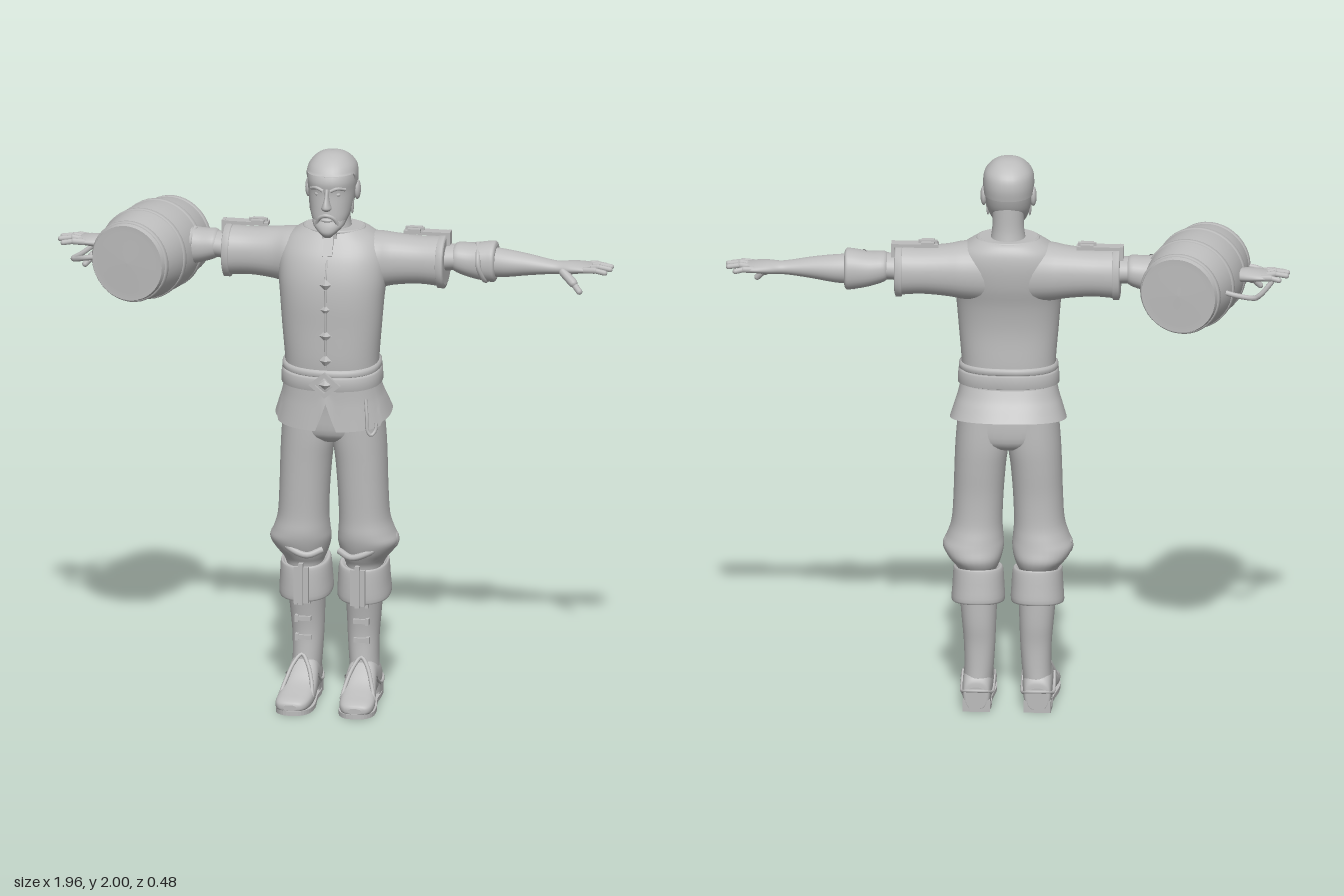
import * as THREE from 'three';

const grey = new THREE.MeshStandardMaterial({ color: 0xbcbcbc, side: THREE.DoubleSide });
grey.name = 'plain grey';
const V = (x, y, z) => new THREE.Vector3(x, y, z);

// Smooth skin through rings [t, a0, a1, b0, b1]: t runs along the axis, a and b bound the section
function loft(rings, { axis = 'y', p = 2, n = 32, sub = 4, caps = true, deform } = {}) {
  const rows = [];
  for (let i = 0; i < rings.length - 1; i++) {
    const [r0, r1, r2, r3] = [i - 1, i, i + 1, i + 2].map(k => rings[Math.min(Math.max(k, 0), rings.length - 1)]);
    for (let j = 0; j < sub; j++) {
      const u = j / sub;
      rows.push(r1.map((v, k) => {
        const c1 = r2[k] - r0[k], c2 = 2 * r0[k] - 5 * v + 4 * r2[k] - r3[k], c3 = 3 * (v - r2[k]) + r3[k] - r0[k];
        return v + 0.5 * u * (c1 + u * (c2 + u * c3));
      }));
    }
  }
  rows.push(rings[rings.length - 1]);
  const pos = [], idx = [];
  const put = (t, a, b) => {
    const v = axis === 'y' ? V(a, t, b) : axis === 'x' ? V(t, a, b) : V(a, b, t);
    if (deform) deform(v);
    pos.push(v.x, v.y, v.z);
  };
  const bend = c => Math.sign(c) * Math.abs(c) ** (2 / p);
  const ring = ([t, a0, a1, b0, b1]) => {
    for (let k = 0; k < n; k++) {
      const w = k / n * Math.PI * 2;
      put(t, (a0 + a1) / 2 + (a1 - a0) / 2 * bend(Math.sin(w)), (b0 + b1) / 2 + (b1 - b0) / 2 * bend(Math.cos(w)));
    }
  };
  rows.forEach(ring);
  for (let i = 0; i < rows.length - 1; i++) for (let k = 0; k < n; k++) {
    const a = i * n + k, b = i * n + (k + 1) % n;
    idx.push(a, b, a + n, b, b + n, a + n);
  }
  if (caps) [rows[0], rows[rows.length - 1]].forEach((r, e) => {
    const s = pos.length / 3;
    ring(r);
    put(r[0], (r[1] + r[2]) / 2, (r[3] + r[4]) / 2);
    for (let k = 0; k < n; k++) {
      const a = s + k, b = s + (k + 1) % n;
      if (e) idx.push(a, b, s + n);
      else idx.push(b, a, s + n);
    }
  });
  // Turn the faces outward
  let vol = 0;
  const at = i => V().fromArray(pos, i * 3);
  const mid = at(0).add(at(n >> 1)).multiplyScalar(0.5);
  for (let i = 0; i < idx.length; i += 3)
    vol += at(idx[i]).sub(mid).dot(at(idx[i + 1]).sub(mid).cross(at(idx[i + 2]).sub(mid)));
  if (vol < 0) idx.reverse();
  const g = new THREE.BufferGeometry();
  g.setAttribute('position', new THREE.Float32BufferAttribute(pos, 3));
  g.setIndex(idx);
  g.computeVertexNormals();
  return g;
}

const tube = (pts, r, seg = 24) =>
  new THREE.TubeGeometry(new THREE.CatmullRomCurve3(pts.map(q => V(...q))), seg, r, 8);
const box = (w, h, d, x, y, z) => new THREE.BoxGeometry(w, h, d).translate(x, y, z);
const ball = (rx, ry, rz, x, y, z) => new THREE.SphereGeometry(1, 16, 12).scale(rx, ry, rz).translate(x, y, z);
function finger(a, b, r) {
  const A = V(...a), B = V(...b), d = B.clone().sub(A);
  const g = new THREE.CapsuleGeometry(r, d.length(), 4, 10);
  g.applyQuaternion(new THREE.Quaternion().setFromUnitVectors(V(0, 1, 0), d.normalize()));
  return g.translate(...A.add(B).multiplyScalar(0.5).toArray());
}
function mirrored(g) {
  const m = g.clone().scale(-1, 1, 1);
  const ids = m.index ? Array.from(m.index.array) : [...Array(m.attributes.position.count).keys()];
  m.setIndex(ids.reverse());
  return m;
}

export function createModel() {
  const model = new THREE.Group();
  const add = (name, g) => {
    const m = new THREE.Mesh(g, grey);
    m.name = name;
    model.add(m);
  };
  const pair = (name, g) => { add(name + 'Left', g); add(name + 'Right', mirrored(g)); };

  // Head, neck and face
  const skull = [[1.725, -.025, .025, .09, .14], [1.745, -.048, .048, .06, .153], [1.78, -.066, .066, .01, .155],
    [1.82, -.076, .076, -.035, .153], [1.87, -.083, .083, -.058, .15], [1.91, -.086, .086, -.063, .155],
    [1.95, -.08, .08, -.053, .138], [1.98, -.056, .056, -.02, .105], [1.994, -.03, .03, .012, .075], [1.998, -.006, .006, .035, .05]];
  add('head', loft(skull, { p: 2.2 }));
  add('hair', loft(skull.slice(4).map(([t, a, b, c, d]) => [t + .002, a - .003, b + .003, c - .003, d + .003]), {
    p: 2.2, caps: false,
    deform: v => { if (v.y < 1.935 && v.z > .05) v.y += (1.935 - v.y) * Math.min(1, (v.z - .05) / .04); },
  }));
  add('neck', loft([[1.64, -.075, .075, -.07, .09], [1.7, -.064, .064, -.058, .075], [1.76, -.055, .055, -.047, .065], [1.84, -.055, .055, -.045, .06]]));
  add('nose', loft([[1.812, -.012, .012, .13, .166], [1.822, -.018, .018, .13, .184], [1.838, -.013, .013, .13, .182],
    [1.862, -.008, .008, .13, .168], [1.89, -.008, .008, .13, .155]], { n: 16 }));
  add('beard', loft([[1.712, -.012, .012, .125, .15], [1.73, -.033, .033, .085, .164], [1.752, -.054, .054, .055, .163], [1.772, -.06, .06, .04, .156]], { p: 2.3 }));
  add('moustache', tube([[-.038, 1.76, .143], [-.024, 1.787, .156], [0, 1.797, .163], [.024, 1.787, .156], [.038, 1.76, .143]], .007));
  add('lips', ball(.02, .007, .008, 0, 1.778, .157));
  pair('eye', ball(.013, .008, .008, .033, 1.868, .136));
  pair('brow', tube([[.013, 1.883, .154], [.035, 1.892, .149], [.06, 1.884, .124]], .006, 12));
  pair('ear', ball(.012, .036, .022, .086, 1.862, .036));
  pair('sideburn', ball(.006, .04, .014, .073, 1.82, .062));

  // Shirt body with neckline and front fastening
  add('shirt', loft([[1.18, -.163, .163, -.072, .165], [1.26, -.164, .164, -.074, .176], [1.38, -.174, .174, -.069, .178],
    [1.48, -.182, .182, -.08, .18], [1.56, -.19, .19, -.1, .172], [1.63, -.188, .188, -.108, .15],
    [1.68, -.165, .165, -.103, .12], [1.71, -.125, .125, -.088, .098], [1.722, -.1, .1, -.07, .088]], { p: 2.35, n: 48 }));
  add('neckline', new THREE.TorusGeometry(1, .07, 8, 40).rotateX(Math.PI / 2).scale(.104, .1, .083).translate(0, 1.716, .01));
  add('collarTab', box(.034, .075, .012, 0, 0, 0).rotateX(-.5).translate(0, 1.675, .124));
  add('collarKnot', box(.05, .02, .016, 0, 1.708, .102));
  add('placket', tube([[0, 1.63, .148], [0, 1.56, .172], [0, 1.45, .18], [0, 1.35, .178], [0, 1.25, .175]], .004));
  [1.55, 1.46, 1.365, 1.275].forEach(y => add('button', new THREE.OctahedronGeometry(1).scale(.022, .022, .014).translate(0, y, .177)));

  // Belt, buckle and split coat skirt
  const tilt = v => { v.y += (.18 - v.z) * .085; };
  add('belt', loft([[1.163, -.17, .17, -.08, .176], [1.166, -.177, .177, -.088, .186], [1.208, -.175, .175, -.088, .187], [1.211, -.166, .166, -.08, .178]],
    { p: 2.4, n: 48, sub: 1, deform: tilt }));
  add('beltUpper', loft([[1.214, -.167, .167, -.078, .178], [1.218, -.173, .173, -.085, .184], [1.234, -.172, .172, -.085, .183], [1.238, -.164, .164, -.076, .175]],
    { p: 2.4, n: 48, sub: 1, deform: tilt }));
  const diamond = (P, r) => { P.moveTo(r, 0); P.lineTo(0, r * .82); P.lineTo(-r, 0); P.lineTo(0, -r * .82); P.closePath(); return P; };
  const frame = diamond(new THREE.Shape(), .056);
  frame.holes.push(diamond(new THREE.Path(), .034));
  add('buckleFrame', new THREE.ExtrudeGeometry(frame, { depth: .014, bevelEnabled: false }).translate(0, 1.19, .184));
  add('buckleCore', new THREE.OctahedronGeometry(.022).scale(1, .8, .6).translate(0, 1.19, .187));
  add('coatSkirt', loft([[1.18, -.166, .166, -.08, .17], [1.13, -.176, .176, -.098, .17], [1.09, -.187, .187, -.117, .172], [1.03, -.203, .203, -.142, .176]], {
    p: 2.4, n: 96, caps: false,
    deform: v => {
      const drop = (1.18 - v.y) / .15, split = v.z > 0 ? Math.max(0, 1 - Math.abs(v.x) / .035) : 0;
      v.y += drop * ((.17 - v.z) * .16 + split * .1 - (v.z > .1 ? .012 : 0));
    },
  }));
  add('beltHook', tube([[.14, 1.14, .165], [.147, 1.08, .178], [.15, 1.03, .182], [.162, 1.015, .18], [.175, 1.03, .17], [.178, 1.055, .165]], .006));

  // Trousers gathered below the knee
  add('hips', loft([[.955, -.07, .07, -.06, .09], [.99, -.165, .165, -.088, .125], [1.08, -.172, .172, -.088, .135], [1.19, -.16, .16, -.07, .15]], { p: 2.4 }));
  pair('trouserLeg', loft([[1.08, .005, .174, -.086, .13], [.97, -.002, .183, -.09, .128], [.88, .008, .187, -.086, .124], [.78, .016, .19, -.08, .12],
    [.68, .02, .196, -.083, .117], [.625, .017, .212, -.095, .12], [.59, .014, .226, -.104, .116], [.555, .02, .21, -.112, .104],
    [.525, .03, .185, -.1, .088], [.5, .04, .172, -.08, .075], [.46, .045, .165, -.075, .07]], { p: 2.2 }));
  pair('kneeFold', tube([[.03, .56, .08], [.08, .545, .108], [.14, .565, .1], [.195, .6, .05], [.212, .6, -.02]], .012));
  pair('kneePuff', ball(.022, .03, .045, .205, .588, .005));

  // Boots with turned cuff, straps and sole
  pair('bootCuff', loft([[.5, .04, .175, -.08, .078], [.51, .024, .186, -.098, .092], [.495, .016, .19, -.104, .097], [.44, .012, .193, -.112, .099],
    [.392, .01, .196, -.118, .098], [.385, .02, .188, -.108, .09], [.395, .04, .17, -.09, .07]],
    { p: 2.3, sub: 3, deform: v => { v.y -= v.z * .14; } }));
  pair('cuffFlap', box(.052, .13, .012, .1, .435, .103));
  pair('cuffStrap', box(.016, .15, .016, .1, .44, .108));
  pair('bootShaft', loft([[.03, .056, .156, -.09, .05], [.1, .053, .153, -.087, .056], [.16, .048, .151, -.083, .05], [.24, .043, .153, -.081, .045],
    [.32, .04, .16, -.086, .054], [.43, .035, .17, -.085, .075]], { p: 2.2 }));
  [[.365, .06], [.3, .054], [.23, .047]].forEach(([y, z]) => {
    pair('bootStrap', box(.05, .016, .016, .1, y, z));
    pair('bootStrapEnd', box(.012, .024, .022, .125, y, z));
  });
  pair('foot', loft([[-.094, .072, .142, .01, .09], [-.085, .06, .152, .004, .12], [-.04, .053, .156, .008, .15], [.03, .05, .156, .014, .16],
    [.075, .047, .16, .008, .128], [.12, .046, .167, .004, .088], [.17, .049, .173, .004, .068], [.21, .058, .17, .006, .056],
    [.23, .073, .157, .01, .046], [.236, .09, .138, .016, .036]], { axis: 'z', p: 2.6 }));
  const soleShape = new THREE.Shape();
  soleShape.setFromPoints(new THREE.SplineCurve([[.07, .092], [.056, .05], [.056, -.03], [.045, -.13], [.053, -.2], [.085, -.238],
    [.138, -.238], [.17, -.2], [.172, -.13], [.156, -.03], [.155, .05], [.142, .092], [.07, .092]].map(q => new THREE.Vector2(...q))).getPoints(48));
  pair('sole', new THREE.ExtrudeGeometry(soleShape, { depth: .016, bevelEnabled: false }).rotateX(-Math.PI / 2));
  pair('heel', box(.094, .042, .07, .106, .021, -.058));
  pair('toeRidge', tube([[.052, .045, .15], [.06, .085, .118], [.08, .14, .082], [.105, .172, .062], [.13, .145, .082], [.152, .09, .118], [.166, .045, .15]], .007, 32));
  pair('ankleBand', tube([[.158, .1, .06], [.16, .07, .01], [.158, .06, -.05], [.145, .075, -.088], [.07, .075, -.09], [.053, .06, -.05], [.05, .07, .01], [.05, .1, .06]], .006, 32));

  // Sleeves, shoulder straps, rolled cuffs
  pair('sleeve', loft([[.06, 1.49, 1.7, -.095, .11], [.15, 1.5, 1.7, -.106, .1], [.21, 1.512, 1.693, -.102, .076], [.3, 1.52, 1.686, -.1, .066],
    [.385, 1.514, 1.69, -.104, .07]], { axis: 'x', p: 2.2 }));
  pair('sleeveHem', loft([[.365, 1.52, 1.685, -.1, .066], [.368, 1.508, 1.696, -.108, .075], [.388, 1.508, 1.697, -.108, .075], [.392, 1.52, 1.686, -.098, .064]], { axis: 'x', p: 2.2, sub: 1 }));
  pair('shoulderStrap', box(.16, .012, .04, .32, 1.7, -.03));
  pair('strapEnd', box(.012, .05, .04, .398, 1.682, -.03));
  pair('strapBuckle', box(.045, .012, .05, .277, 1.708, -.03));
  pair('strapPin', box(.065, .02, .012, .277, 1.707, -.03));
  pair('upperArm', loft([[.34, 1.56, 1.66, -.08, .04], [.42, 1.572, 1.662, -.085, .035], [.48, 1.56, 1.664, -.085, .035]], { axis: 'x' }));
  pair('rolledCuff', loft([[.415, 1.578, 1.655, -.078, .025], [.43, 1.565, 1.668, -.092, .036], [.48, 1.548, 1.668, -.096, .036], [.535, 1.537, 1.677, -.1, .036],
    [.56, 1.536, 1.678, -.1, .036], [.567, 1.55, 1.665, -.085, .024]], { axis: 'x', p: 2.2 }));
  pair('cuffFold', tube([[.5, 1.67, -.03], [.51, 1.64, .025], [.515, 1.6, .038], [.53, 1.55, .01], [.535, 1.54, -.04]], .009));

  // Forearms and hands
  pair('forearm', loft([[.53, 1.552, 1.66, -.08, .02], [.6, 1.556, 1.654, -.076, .024], [.68, 1.568, 1.643, -.063, .02], [.75, 1.577, 1.63, -.052, .015],
    [.79, 1.58, 1.625, -.05, .014], [.83, 1.582, 1.627, -.064, .024], [.87, 1.588, 1.625, -.074, .027], [.905, 1.592, 1.62, -.072, .024]], { axis: 'x' }));
  [[.015, .958, 1.603, .022], [-.011, .972, 1.609, -.004], [-.036, .97, 1.609, -.038], [-.06, .945, 1.603, -.07]].forEach(([z, x, y, tip]) => {
    const knuckle = [(.885 + x) / 2, y + .006, (z + tip) / 2];
    pair('finger', finger([.885, 1.607, z], knuckle, .0115));
    pair('fingertip', finger(knuckle, [x, y, tip], .0095));
  });
  pair('thumbBase', finger([.81, 1.595, .012], [.85, 1.567, .042], .016));
  pair('thumbTip', finger([.85, 1.567, .042], [.874, 1.54, .053], .011));

  // Barrel carried on the right arm
  const barrel = new THREE.Group();
  barrel.name = 'barrel';
  const lathe = (name, pts) => {
    const m = new THREE.Mesh(new THREE.LatheGeometry(pts.map(q => new THREE.Vector2(...q)), 40).rotateX(Math.PI / 2), grey);
    m.name = name;
    barrel.add(m);
  };
  const radius = t => .161 - .027 * (t / .197) ** 2;
  lathe('barrelStaves', [...Array(17).keys()].map(i => -.197 + i * .394 / 16).map(t => [radius(t), t]));
  [-1, 1].forEach(s => {
    const lid = [[0, s * .199], [.11, s * .196], [radius(.197), s * .197]];
    lathe('barrelLid', s < 0 ? lid : lid.reverse());
    [.065, .172].forEach(t => {
      const band = [-.009, -.008, .008, .009].map((d, i) => [radius(t) + (i % 3 ? .004 : -.002), s * t + d]);
      lathe('barrelHoop', band);
    });
  });
  barrel.position.set(-.652, 1.588, -.016);
  barrel.rotation.y = -.257;
  model.add(barrel);
  add('barrelHandle', tube([[-.76, 1.59, -.165], [-.8, 1.58, -.168], [-.86, 1.565, -.152], [-.873, 1.56, -.125], [-.9, 1.555, -.02],
    [-.915, 1.56, .06], [-.9, 1.565, .085], [-.865, 1.58, .115], [-.8, 1.59, .12]], .0095, 48));
  return model;
}
